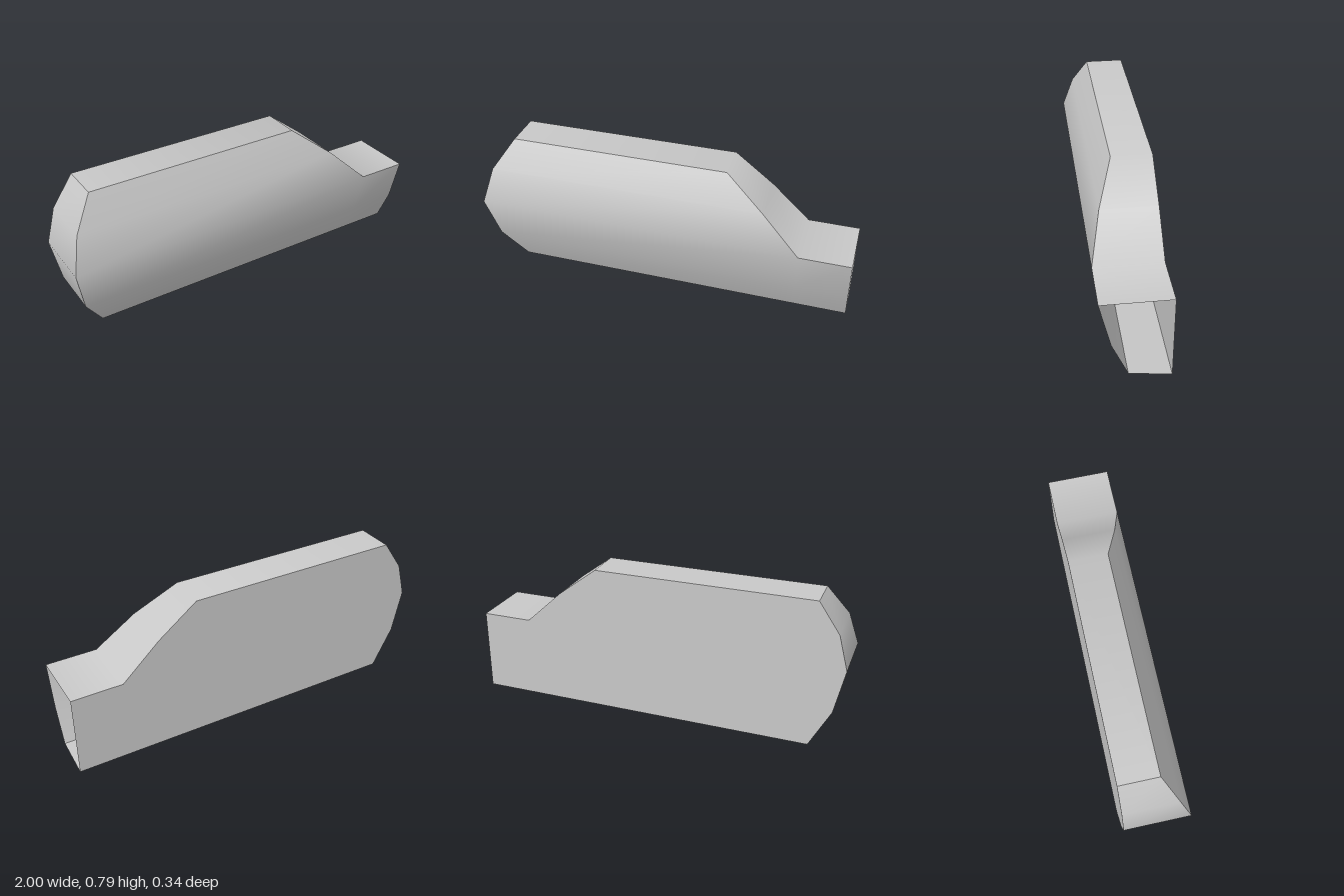
import * as THREE from 'three';
import { toCreasedNormals } from 'three/addons/utils/BufferGeometryUtils.js';

// Cross-sections from top to bottom: front y, back y, front z, left end x, shoulder x
const rows = [
  [0.79, 0.79, 0.035, -0.84, 0.32],
  [0.63, 0.63, 0.115, -0.95, 0.53],
  [0.445, 0.445, 0.172, -1, 0.73],
  [0.21, 0.21, 0.115, -0.95, 0.73],
  [0.03, 0, 0.035, -0.84, 0.73],
];
const BACK = -0.172, END = 1, LEDGE = 2;

const front = (r, x) => [x, r[0], r[2]];
const back = (r, x) => [x, r[1], BACK];

export function createModel() {
  const grey = new THREE.MeshStandardMaterial({ color: 0xc8c8c8, side: THREE.DoubleSide });
  grey.name = 'plain grey';

  const pos = [];
  const quad = (a, b, c, d) => pos.push(...a, ...b, ...c, ...a, ...c, ...d);

  // Front and back walls over one span between two sections
  const walls = (up, lo, ul, ll, ur, lr) => {
    quad(front(lo, ll), front(lo, lr), front(up, ur), front(up, ul));
    quad(back(lo, lr), back(lo, ll), back(up, ul), back(up, ur));
  };

  for (let i = 0; i < rows.length - 1; i++) {
    const up = rows[i], lo = rows[i + 1];
    walls(up, lo, up[3], lo[3], up[4], lo[4]);
    // Faceted rounded end
    quad(back(lo, lo[3]), front(lo, lo[3]), front(up, up[3]), back(up, up[3]));
    if (i < LEDGE) {
      // Sloping shoulder
      quad(front(lo, lo[4]), back(lo, lo[4]), back(up, up[4]), front(up, up[4]));
    } else {
      // Low extension, left open at its end
      walls(up, lo, up[4], lo[4], END, END);
    }
  }

  // Top, ledge and underside
  const top = rows[0], ledge = rows[LEDGE], base = rows[rows.length - 1];
  quad(front(top, top[3]), front(top, top[4]), back(top, top[4]), back(top, top[3]));
  quad(front(ledge, ledge[4]), front(ledge, END), back(ledge, END), back(ledge, ledge[4]));
  quad(back(base, base[3]), back(base, END), front(base, END), front(base, base[3]));

  const geometry = new THREE.BufferGeometry();
  geometry.setAttribute('position', new THREE.Float32BufferAttribute(pos, 3));
  const shell = new THREE.Mesh(toCreasedNormals(geometry, THREE.MathUtils.degToRad(48)), grey);
  shell.name = 'shell';

  const group = new THREE.Group();
  group.name = 'hollowCasing';
  group.add(shell);
  return group;
}
